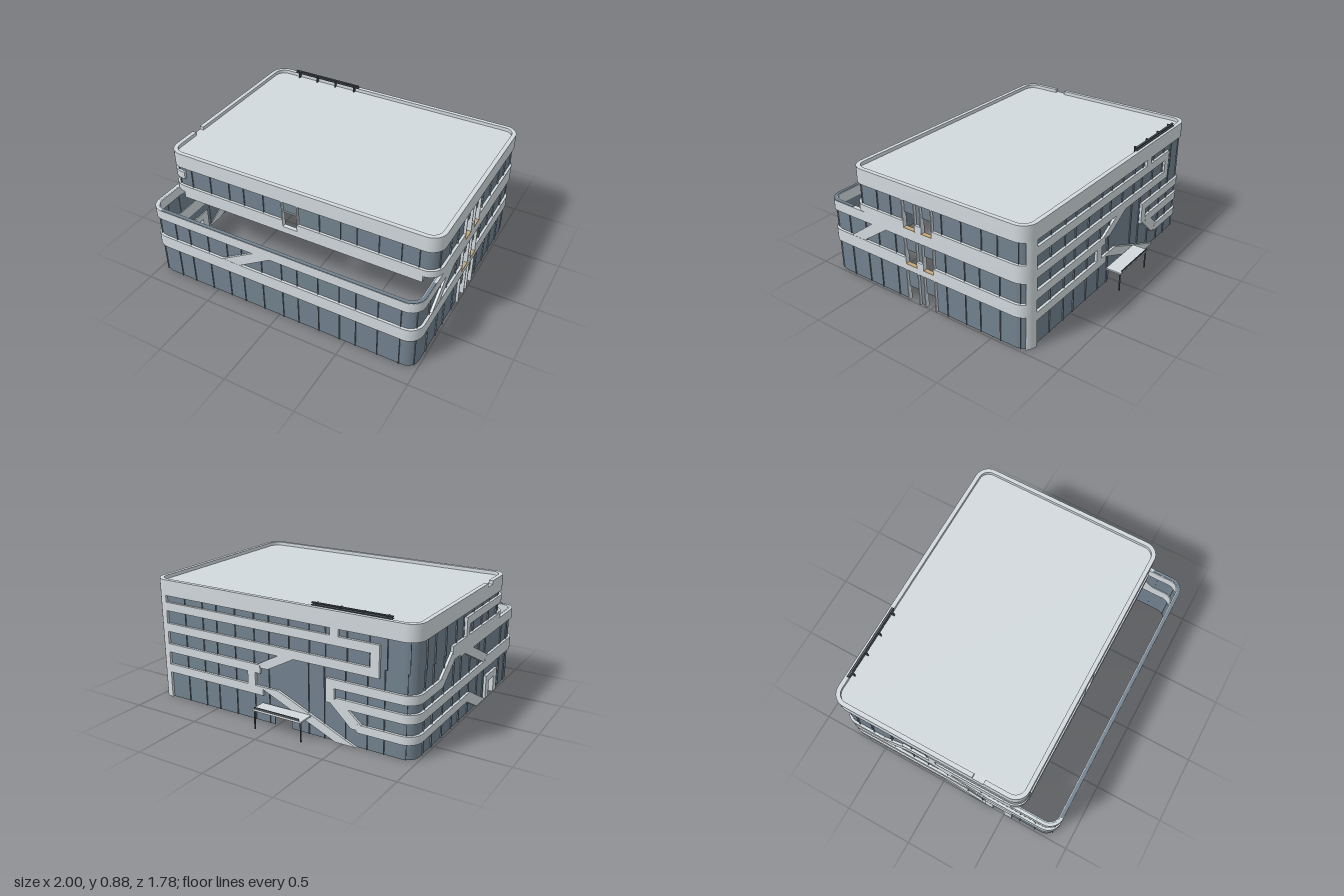
import * as THREE from 'three';
import { mergeGeometries, toCreasedNormals } from 'three/addons/utils/BufferGeometryUtils.js';

const R = 0.1, ZB = -0.77, Q = Math.PI * R / 2, ARC = 8;

// Rounded rectangular outline: starts at the back +x corner, runs back, left (-x), front, right (+x).
function makeLoop(zf) {
  const w = 2 - 2 * R, d = zf - ZB - 2 * R;
  const lens = [w, Q, d, Q, w, Q, d, Q];
  const starts = [];
  let total = 0;
  for (const l of lens) { starts.push(total); total += l; }
  const centres = [[-1 + R, ZB + R], [-1 + R, zf - R], [1 - R, zf - R], [1 - R, ZB + R]];
  const knots = [];
  for (let c = 0; c < 4; c++) for (let i = 0; i <= ARC; i++) knots.push(starts[2 * c + 1] + Q * i / ARC);
  const normals = [[0, -1], [-1, 0], [0, 1], [1, 0]];
  function at(s, inset) {
    s = Math.min(Math.max(s, 0), total);
    let k = 7;
    while (k > 0 && s < starts[k]) k--;
    const side = k >> 1, n = normals[side], m = normals[(side + 1) % 4], c = centres[side], t = s - starts[k];
    const r = R - inset;
    if (k % 2) {
      const a = t / R, p = Math.cos(a), q = Math.sin(a);
      return [c[0] + r * (n[0] * p + m[0] * q), c[1] + r * (n[1] * p + m[1] * q)];
    }
    const b = t - lens[k];
    return [c[0] + n[0] * r + m[0] * b, c[1] + n[1] * r + m[1] * b];
  }
  return {
    at, knots, total,
    back: x => 1 - R - x,
    left: z => starts[2] + z - ZB - R,
    front: x => starts[4] + x + 1 - R,
    right: z => starts[6] + zf - R - z,
  };
}

// Solid strip following an outline; stations are [s, bottom, top].
function strip(loop, stations, o = 0, i = 0.03) {
  const list = [stations[0]];
  for (let n = 1; n < stations.length; n++) {
    const a = stations[n - 1], b = stations[n];
    for (const k of loop.knots) if (k > a[0] + 1e-5 && k < b[0] - 1e-5) {
      const t = (k - a[0]) / (b[0] - a[0]);
      list.push([k, a[1] + t * (b[1] - a[1]), a[2] + t * (b[2] - a[2])]);
    }
    list.push(b);
  }
  const rings = list.map(([s, lo, hi]) => {
    const p = loop.at(s, o), q = loop.at(s, i);
    return [[p[0], lo, p[1]], [p[0], hi, p[1]], [q[0], hi, q[1]], [q[0], lo, q[1]]];
  });
  const pos = [];
  const quad = (a, b, c, d) => pos.push(...a, ...b, ...c, ...a, ...c, ...d);
  for (let n = 1; n < rings.length; n++) for (let k = 0; k < 4; k++) {
    const a = rings[n - 1], b = rings[n], j = (k + 1) % 4;
    quad(a[k], b[k], b[j], a[j]);
  }
  quad(...rings[0]);
  quad(...rings[rings.length - 1].slice().reverse());
  const g = new THREE.BufferGeometry();
  g.setAttribute('position', new THREE.Float32BufferAttribute(pos, 3));
  return g;
}
const flat = (loop, s0, s1, lo, hi, o, i) => strip(loop, [[s0, lo, hi], [s1, lo, hi]], o, i);

// Slanting band: bottom edge a0..a1, top edge b0..b1
function slant(loop, a0, a1, b0, b1, y0, y1) {
  const edge = (s, a, b) => Math.min(y1, Math.max(y0, y0 + (s - a) / (b - a) * (y1 - y0)));
  const st = [a0, a1, b0, b1].sort((p, q) => p - q).map(s => {
    const e = edge(s, a0, b0), f = edge(s, a1, b1);
    return [s, Math.min(e, f), Math.max(e, f)];
  });
  return strip(loop, st, 0.001, 0.029);
}

// Strip whose top is cut down to a lower height between given positions
function notched(loop, s0, s1, lo, hi, cuts, cutHi) {
  const st = [[s0, lo, hi]];
  for (const [a, b] of cuts) st.push([a, lo, hi], [a, lo, cutHi], [b, lo, cutHi], [b, lo, hi]);
  st.push([s1, lo, hi]);
  return strip(loop, st);
}

export function createModel() {
  const group = new THREE.Group();
  const mat = (name, color) => Object.assign(new THREE.MeshStandardMaterial({ color }), { name });
  const light = mat('light cladding', 0xd2d9dd), glassMat = mat('blue grey glass', 0x72828f);
  const dark = mat('dark metal', 0x4a5157), wood = mat('tan soffit', 0xc4a878);
  const add = (name, geos, m) => {
    const mesh = new THREE.Mesh(toCreasedNormals(mergeGeometries(geos), 0.5), m);
    mesh.name = name;
    group.add(mesh);
  };
  const box = (x0, x1, y0, y1, z0, z1) => {
    const g = new THREE.BoxGeometry(x1 - x0, y1 - y0, z1 - z0).toNonIndexed();
    g.deleteAttribute('uv'); g.deleteAttribute('normal');
    return g.translate((x0 + x1) / 2, (y0 + y1) / 2, (z0 + z1) / 2);
  };

  const L = makeLoop(0.89), U = makeLoop(0.635);
  const columns = loop => [[loop.right(0.19), loop.right(0.09)], [loop.right(0.04), loop.right(-0.05)]];
  const frontDoor = [U.front(-0.1), U.front(0.015)];

  // Glass walls; each hole is [start, end, ...openings as [bottom, top]]
  const glass = [], fins = [];
  function glaze(loop, y0, y1, holes) {
    const pane = (a, b, lo, hi) => glass.push(flat(loop, a, b, lo, hi, 0.018, 0.024));
    let s = 0;
    for (const [a, b, ...openings] of holes) {
      pane(s, a, y0, y1);
      let y = y0;
      for (const [lo, hi] of openings) {
        if (lo > y) pane(a, b, y, lo);
        y = hi;
      }
      pane(a, b, y, y1);
      s = b;
    }
    pane(s, loop.total, y0, y1);
    const n = Math.round(loop.total / 0.14);
    for (let k = 1; k < n; k++) {
      const f = k * loop.total / n + (k % 3) * 0.012;
      if (!holes.some(h => f > h[0] - 0.01 && f < h[1] + 0.01)) fins.push(flat(loop, f, f + 0.004, y0, y1, 0.01, 0.028));
    }
  }
  glaze(L, 0, 0.548, [[L.back(0.02), L.back(-0.11), [0, 0.09]], [L.left(0.41), L.left(0.5), [0, 0.12]],
    ...columns(L).map(c => [...c, [0, 0.105], [0.28, 0.38]])]);
  glaze(U, 0.548, 0.75, [[...frontDoor, [0.548, 0.66]], ...columns(U).map(c => [...c, [0.548, 0.655]])]);
  add('glassWalls', glass, glassMat);
  add('mullions', fins, glassMat);

  // Bands on the front and the right
  const uc = columns(U);
  add('frontAndRightBands', [
    notched(L, L.left(0.3), L.total, 0.237, 0.328, columns(L), 0.28),
    flat(L, L.left(-0.15), L.total, 0.475, 0.548),
    notched(U, U.front(-1 + R), U.front(1 - R), 0.5, 0.598, [frontDoor], 0.548),
    flat(U, U.left(0.5), U.front(-0.9), 0.548, 0.598),
    flat(U, U.front(0.9), uc[0][0], 0.548, 0.598),
    flat(U, uc[0][1], uc[1][0], 0.548, 0.598),
    flat(U, uc[1][1], U.total, 0.548, 0.598),
    slant(L, L.front(-0.42), L.front(-0.28), L.front(-0.17), L.front(-0.04), 0.328, 0.475),
    slant(L, L.right(0.68), L.right(0.56), L.right(0.48), L.right(0.35), 0.328, 0.475),
  ], light);

  // Tan trim below the lower front band and on the sills of the openings
  add('tanTrim', [
    flat(L, L.front(-0.98), L.front(0.98), 0.233, 0.237, 0.002, 0.028),
    ...columns(L).map(c => flat(L, ...c, 0.28, 0.284, -0.001, 0.03)),
    ...uc.map(c => flat(U, ...c, 0.548, 0.552, -0.001, 0.03)),
  ], wood);

  // Bands on the back, linked by slanted and upright pieces
  const bx = (x0, x1, y0, y1) => flat(y0 > 0.54 ? U : L, L.back(x0), L.back(x1), y0, y1);
  const bs = (a0, a1, b0, b1, y0, y1) => slant(L, L.back(a0), L.back(a1), L.back(b0), L.back(b1), y0, y1);
  add('backBands', [
    bx(0.9, -0.75, 0.64, 0.7), bx(0.9, -0.75, 0.49, 0.55), bx(0.9, 0.12, 0.34, 0.4), bx(0.9, 0.1, 0.19, 0.25),
    bx(-0.69, -0.75, 0.55, 0.64), bx(-0.41, -0.47, 0.7, 0.75), bx(0.22, 0.16, 0.25, 0.34),
    bs(0.18, 0.06, -0.04, -0.16, 0.38, 0.5),
    bs(-0.45, -0.6, 0.14, -0.02, 0, 0.25),
    bx(-0.38, -0.44, 0.26, 0.42),
    bs(-0.56, -0.68, -0.38, -0.48, 0.12, 0.29),
  ], light);

  // Bands that turn the back corner on to the left side
  const ls = (a0, a1, b0, b1, y0, y1) => slant(L, L.left(a0), L.left(a1), L.left(b0), L.left(b1), y0, y1);
  add('leftBands', [
    flat(L, L.back(-0.4), L.left(-0.42), 0.36, 0.42),
    flat(L, L.back(-0.45), L.left(0.3), 0.24, 0.3),
    flat(L, L.back(-0.6), L.left(0), 0.105, 0.16),
    ls(0.2, 0.35, -0.09, 0.06, 0, 0.16),
    ls(-0.52, -0.4, -0.27, -0.15, 0.36, 0.55),
    ls(0.28, 0.42, -0.1, 0.04, 0.3, 0.49),
    flat(L, L.left(-0.27), L.left(-0.15), 0.49, 0.548),
    flat(U, U.left(-0.27), U.left(0.5), 0.548, 0.585),
    flat(U, U.left(-0.06), U.left(-0.01), 0.585, 0.66),
    flat(U, U.left(-0.06), U.front(-0.88), 0.66, 0.715),
  ], light);

  // Back corner pillar, parapet with a scupper gap
  add('cornerPillar', [flat(L, L.total - 0.08, L.total, 0, 0.548), flat(U, U.total - 0.08, U.total, 0.548, 0.75)], light);
  add('parapet', [notched(U, 0, U.total, 0.747, 0.858, [[U.left(0.28), U.left(0.36)]], 0.833)], light);
  add('terraceCoping', [flat(L, L.front(-0.9), L.right(0.65), 0.548, 0.551, 0.002, 0.024)], glassMat);

  // Roof slab
  const outline = new THREE.Shape(U.knots.map(s => U.at(s, 0.02)).map(([x, z]) => new THREE.Vector2(x, -z)));
  const slab = new THREE.ExtrudeGeometry(outline, { depth: 0.023, bevelEnabled: false }).rotateX(-Math.PI / 2).translate(0, 0.81, 0);
  slab.deleteAttribute('uv'); slab.deleteAttribute('normal');
  add('roof', [slab], light);

  // Door and window jambs and transoms
  const frames = [];
  for (const [loop, y0, y1] of [[L, 0, 0.548], [U, 0.548, 0.747]])
    for (const s of columns(loop).flat()) frames.push(flat(loop, s - 0.004, s + 0.004, y0, y1, 0, 0.032));
  for (const s of frontDoor) frames.push(flat(U, s - 0.004, s + 0.004, 0.548, 0.747, 0, 0.032));
  frames.push(flat(U, ...frontDoor, 0.66, 0.668, 0.012, 0.028));
  add('openingFrames', frames, light);
  add('leftDoorFrame', [
    flat(L, L.left(0.35), L.left(0.41), 0, 0.17, 0, 0.032),
    flat(L, L.left(0.5), L.left(0.56), 0, 0.17, 0, 0.032),
    flat(L, L.left(0.41), L.left(0.5), 0.12, 0.17, 0, 0.032)], light);

  // Back canopy on two posts
  add('canopy', [box(-0.275, 0.1, 0.134, 0.144, -0.89, -0.775)], light);
  add('canopySoffit', [box(-0.27, 0.095, 0.13, 0.134, -0.887, -0.775)], wood);
  add('canopyLipAndPosts', [box(-0.26, 0.085, 0.144, 0.16, -0.89, -0.885),
    ...[-0.265, 0.09].map(x => box(x - 0.004, x + 0.004, 0, 0.13, -0.882, -0.874))], dark);

  // Roof rail with brackets
  add('roofRail', [box(-0.82, -0.27, 0.862, 0.867, -0.755, -0.73), box(-0.82, -0.27, 0.874, 0.881, -0.75, -0.735),
    ...[-0.785, -0.625, -0.465, -0.3].map(x => box(x - 0.004, x + 0.004, 0.833, 0.879, -0.742, -0.717))], dark);
  return group;
}
